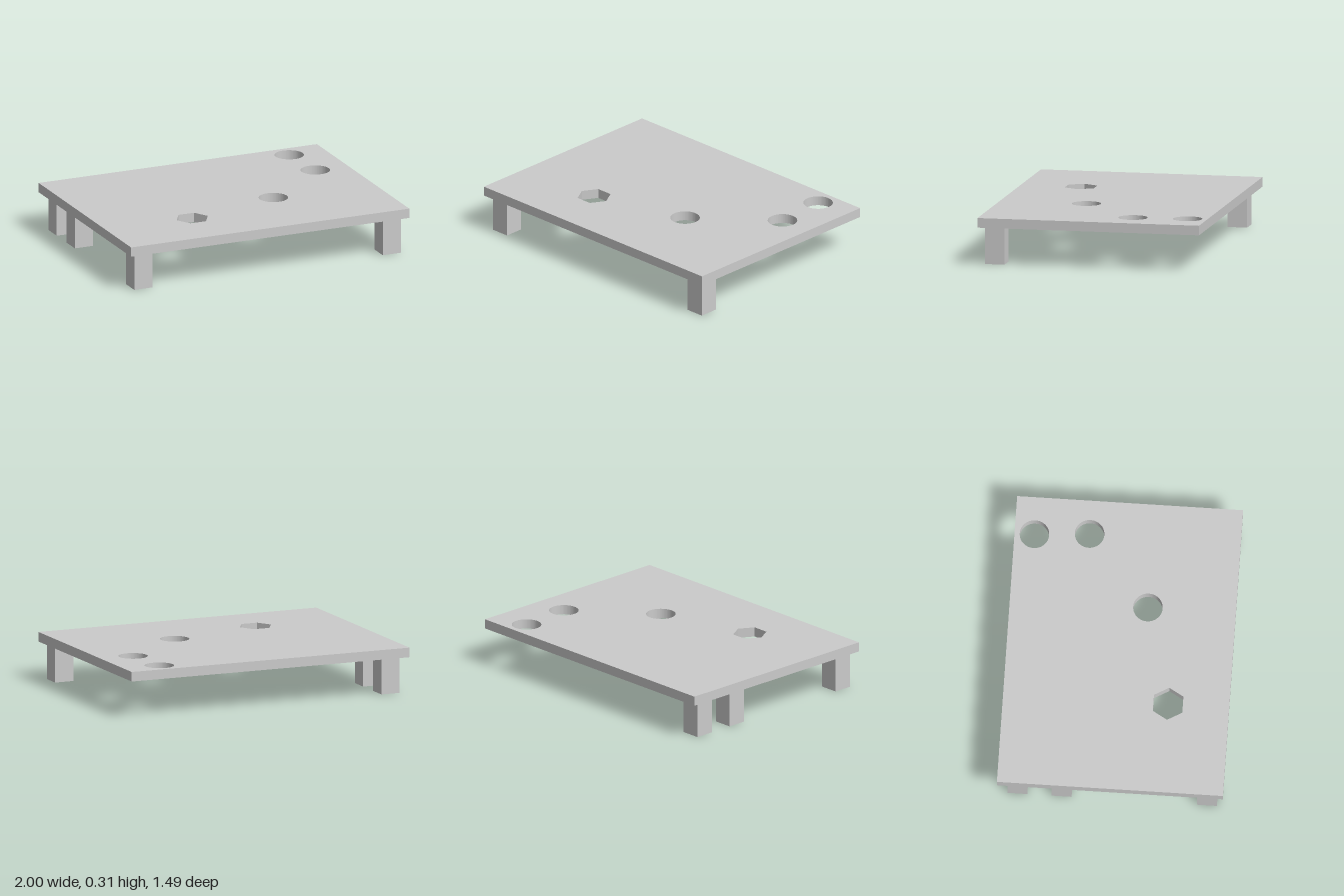
import * as THREE from 'three';

const WIDTH = 2, DEPTH = 1.486, TOP = 0.311, UNDERSIDE = 0.247, LEG = 0.131;

export function createModel() {
  const model = new THREE.Group();
  const material = new THREE.MeshStandardMaterial({ color: 0xcccccc });

  // Slab outline, drawn in plan: shape y is -z
  const outline = new THREE.Shape([
    new THREE.Vector2(-WIDTH / 2, -DEPTH / 2),
    new THREE.Vector2(WIDTH / 2, -DEPTH / 2),
    new THREE.Vector2(WIDTH / 2, DEPTH / 2),
    new THREE.Vector2(-WIDTH / 2, DEPTH / 2),
  ]);

  // Three round holes and one hexagonal hole: x, z, radius, sides
  const holes = [
    [0.742, -0.612, 0.097, 64],
    [0.768, -0.251, 0.097, 64],
    [0.281, 0.165, 0.097, 64],
    [-0.381, 0.342, 0.112, 6],
  ];
  for (const [x, z, radius, sides] of holes) {
    const points = [];
    for (let i = 0; i < sides; i++) {
      const a = (-i / sides) * Math.PI * 2;
      points.push(new THREE.Vector2(x + radius * Math.cos(a), -z + radius * Math.sin(a)));
    }
    outline.holes.push(new THREE.Path(points));
  }

  const slabGeometry = new THREE.ExtrudeGeometry(outline, { depth: TOP - UNDERSIDE, bevelEnabled: false });
  slabGeometry.rotateX(-Math.PI / 2);
  const slab = new THREE.Mesh(slabGeometry, material);
  slab.name = 'tabletop';
  slab.position.y = UNDERSIDE;
  model.add(slab);

  // Square legs: one at the front left, three along the right side
  const legGeometry = new THREE.BoxGeometry(LEG, UNDERSIDE, LEG);
  const legs = [
    ['frontLeftLeg', 0.893, 0.636],
    ['frontRightLeg', -0.893, 0.636],
    ['middleRightLeg', -0.893, -0.32],
    ['backRightLeg', -0.893, -0.611],
  ];
  for (const [name, x, z] of legs) {
    const leg = new THREE.Mesh(legGeometry, material);
    leg.name = name;
    leg.position.set(x, UNDERSIDE / 2, z);
    model.add(leg);
  }

  return model;
}
